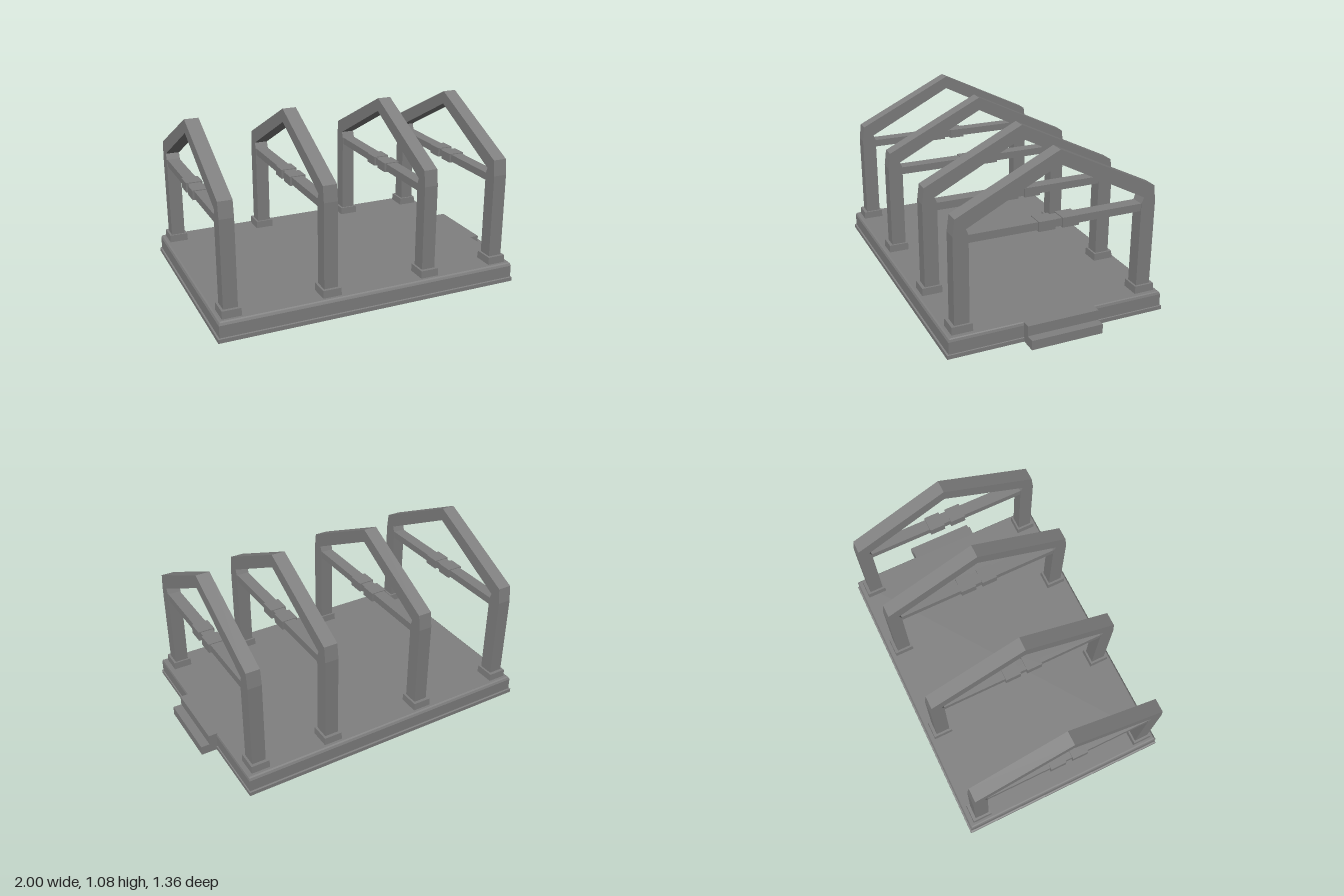
import * as THREE from 'three';

const stone = new THREE.MeshStandardMaterial({ color: 0x808080, side: THREE.DoubleSide });
stone.name = 'grey stone';

function part(name, geometry, parent) {
  const geo = geometry.index ? geometry.toNonIndexed() : geometry;
  geo.computeVertexNormals(); // crisp facets
  const mesh = new THREE.Mesh(geo, stone);
  mesh.name = name;
  parent.add(mesh);
  return mesh;
}

// Open surface joining successive rows of [x, y, z] points
function strip(rows) {
  const pos = [];
  for (let i = 0; i < rows.length - 1; i++) {
    for (let j = 0; j < rows[i].length - 1; j++) {
      const a = rows[i][j], b = rows[i][j + 1], c = rows[i + 1][j + 1], d = rows[i + 1][j];
      pos.push(...a, ...b, ...c, ...a, ...c, ...d);
    }
  }
  const geo = new THREE.BufferGeometry();
  geo.setAttribute('position', new THREE.Float32BufferAttribute(pos, 3));
  return geo;
}

const polygon = (pts) => new THREE.Shape(pts.map(([x, y]) => new THREE.Vector2(x, y)));

const FLOOR = 0.12, STEP = 0.222;

// Hollow base, open underneath, with a small flange and chamfered top edge
function addBase(group) {
  const base = new THREE.Group();
  base.name = 'base';
  group.add(base);

  const profile = [[0, 0], [0, 0.024], [0.01, 0.026], [0.01, 0.1], [0.016, 0.114], [0.024, FLOOR]];
  const rows = profile.map(([inset, y]) => {
    const r = 0.903 - inset * 0.6, l = -1 + inset, z = 0.68 - inset;
    return [[r, y, -STEP], [r, y, -z], [l, y, -z], [l, y, z], [r, y, z], [r, y, STEP]];
  });
  part('baseWalls', strip(rows), base);

  const floor = new THREE.PlaneGeometry(1.865, 1.312).rotateX(-Math.PI / 2);
  part('floor', floor, base).position.set(-0.0435, FLOOR, 0);

  // Entrance step on the left end
  const edge = [[0.888, FLOOR], [0.946, FLOOR], [0.946, 0.058], [1, 0.058], [1, 0]];
  part('entranceStep', strip(edge.map(([x, y]) => [[x, y, STEP], [x, y, -STEP]])), base);
  const cheek = polygon([...edge, [0.888, 0]]);
  for (const s of [1, -1]) {
    part('stepCheek', new THREE.ShapeGeometry(cheek), base).position.z = s * STEP;
  }
}

// Gabled frame: posts and rafters in one piece, tie beam, couplers and feet
function makeFrame() {
  const frame = new THREE.Group();
  frame.name = 'archFrame';
  const W = 0.085;
  const outer = [[0.617, 0.1], [0.617, 0.69], [0.604, 0.787]];
  const inner = [[0.527, 0.1], [0.527, 0.685], [0.541, 0.722]];
  const mirror = (pts) => pts.map(([z, y]) => [-z, y]).reverse();
  const outline = polygon([
    ...outer, [0, 1.082], ...mirror(outer),
    ...inner.map(([z, y]) => [-z, y]), [0, 1.0], ...inner.slice().reverse(),
  ]);
  const arch = new THREE.ExtrudeGeometry(outline, { depth: W, bevelEnabled: false });
  arch.translate(0, 0, -W / 2).rotateY(Math.PI / 2);
  part('postsAndRafters', arch, frame);

  part('tieBeam', new THREE.BoxGeometry(0.076, 0.046, 1.08), frame).position.y = 0.662;
  for (const s of [1, -1]) {
    part('coupler', new THREE.BoxGeometry(0.1, 0.058, 0.1), frame).position.set(0, 0.661, s * 0.072);
    // Tapered foot reaching slightly through the floor
    const foot = new THREE.CylinderGeometry(Math.SQRT1_2, Math.SQRT1_2 * 1.06, 1, 4);
    foot.rotateY(Math.PI / 4).scale(0.112, 0.075, 0.122);
    part('foot', foot, frame).position.set(0, 0.1285, s * 0.576);
  }
  return frame;
}

export function createModel() {
  const model = new THREE.Group();
  model.name = 'openPavilion';
  addBase(model);
  for (const x of [-0.905, -0.306, 0.332, 0.808]) {
    const frame = makeFrame();
    frame.position.x = x;
    model.add(frame);
  }
  return model;
}
